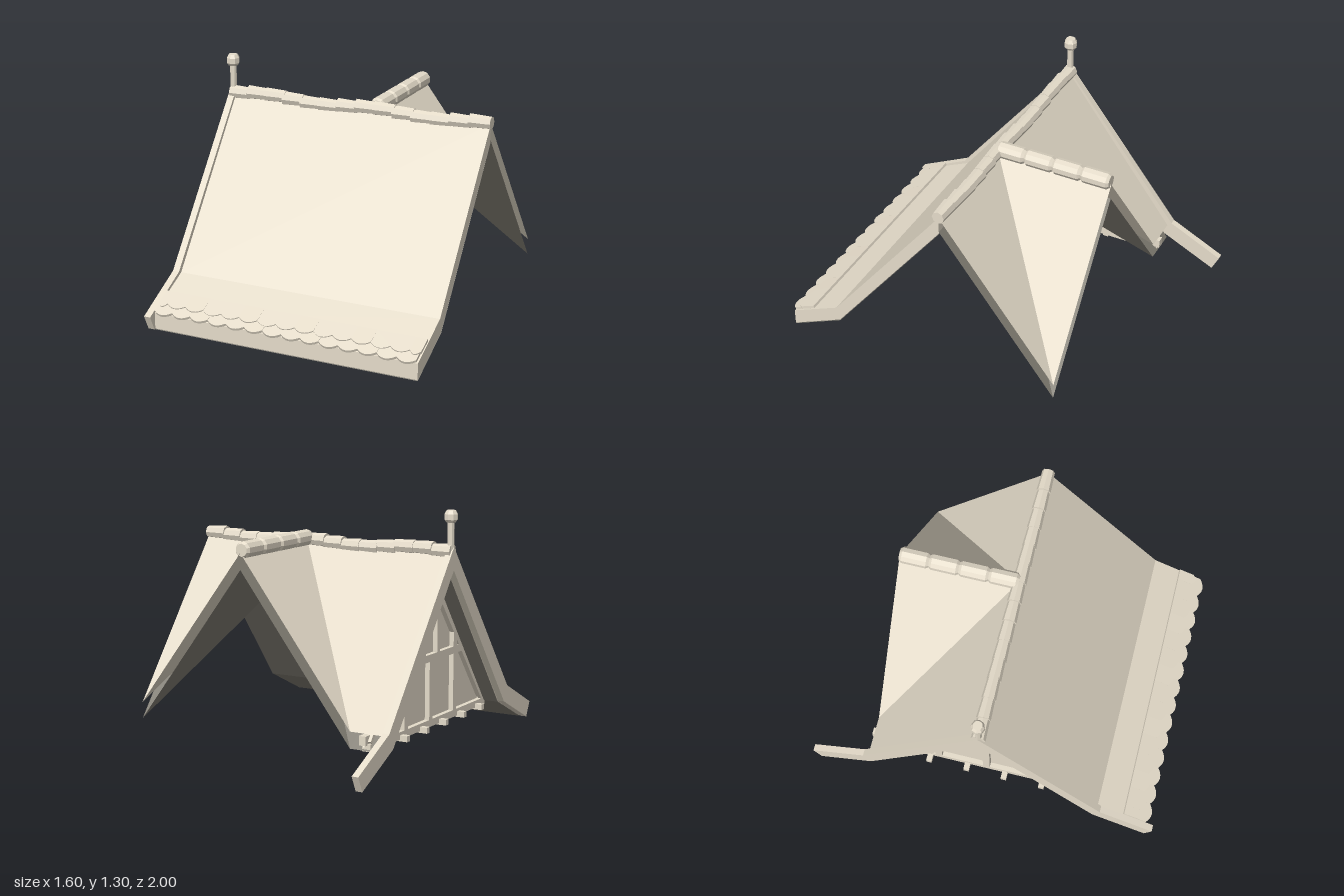
import * as THREE from 'three';

export function createModel() {
  const root = new THREE.Group();
  const clay = new THREE.MeshStandardMaterial({ color: 0xe5dcca, side: THREE.DoubleSide });
  clay.name = 'pale clay';
  const shade = new THREE.MeshStandardMaterial({ color: 0x837f75, side: THREE.DoubleSide });
  shade.name = 'dark lining';

  const add = (name, geo, parent = root, mat = clay) => {
    const m = new THREE.Mesh(geo, mat);
    m.name = name;
    parent.add(m);
    return m;
  };
  const group = (name) => {
    const g = new THREE.Group();
    g.name = name;
    root.add(g);
    return g;
  };
  const faceted = (geo) => {
    const g = geo.toNonIndexed();
    g.computeVertexNormals();
    return g;
  };
  const lathe = (pts, sides) =>
    faceted(new THREE.LatheGeometry(pts.map((p) => new THREE.Vector2(...p)), sides));
  // Extrude a (z, y) outline along x, from x0 to x1
  const alongX = (pts, x0, x1) => {
    const s = new THREE.Shape(pts.map((p) => new THREE.Vector2(...p)));
    const g = new THREE.ExtrudeGeometry(s, { depth: x1 - x0, bevelEnabled: false });
    return g.rotateY(-Math.PI / 2).translate(x1, 0, 0);
  };
  // Thin surface from triangles, optionally lowered
  const sheet = (name, tris, mat, drop = 0) => {
    const pos = tris.flat().flatMap(([x, y, z]) => [x, y - drop, z]);
    const g = new THREE.BufferGeometry();
    g.setAttribute('position', new THREE.Float32BufferAttribute(pos, 3));
    g.computeVertexNormals();
    add(name, g, root, mat);
  };

  // Front roof slab with flared eave and dark underside
  const x0 = -0.745, x1 = 0.79;
  add('frontRoof', alongX([[0, 1.09], [0.67, 0.228], [0.955, 0.096], [0.955, 0.005], [0.65, 0.15], [0, 0.99]], x0, x1));
  const under = [[0, 0.985], [0.65, 0.144], [0.955, 0]];
  const soffit = [];
  for (let i = 0; i < 2; i++) {
    const [[za, ya], [zb, yb]] = [under[i], under[i + 1]];
    soffit.push([[x0, ya, za], [x1, ya, za], [x1, yb, zb]], [[x0, ya, za], [x1, yb, zb], [x0, yb, zb]]);
  }
  sheet('frontLining', soffit, shade);

  // Back roof with cross gable: outer skin and lowered dark lining
  const A = [0.13, 1.09, 0], G = [0.13, 1.09, -0.665];
  const L = [-0.54, 0.215, -0.665], R = [0.79, 0.215, -0.665];
  const E0 = [-0.75, 1.09, 0], E1 = [0.79, 1.09, 0], D = [-0.75, 0.215, -0.665];
  const mainBack = [[E0, A, L], [E0, L, D], [A, E1, R]];
  const cross = [[A, G, L], [A, R, G]];
  sheet('backRoof', mainBack, clay);
  sheet('crossGableRoof', cross, clay);
  sheet('backRoofLining', mainBack, shade, 0.09);
  sheet('crossGableLining', cross, shade, 0.09);

  // Barge boards on the gable end, flared at both feet
  const barge = group('bargeBoards');
  const half = [[0, 1.11], [0.69, 0.237], [1, 0.085], [0.96, 0], [0.65, 0.15], [0, 0.985]];
  add('frontBarge', alongX(half, -0.785, -0.747), barge);
  add('backBarge', alongX(half.map(([z, y]) => [-z, y]).reverse(), -0.785, -0.747), barge);

  // Finial post and cap
  const finial = group('finial');
  add('post', faceted(new THREE.CylinderGeometry(0.019, 0.019, 0.2, 8).translate(-0.765, 1.15, 0)), finial);
  const cap = [[0, 1.24], [0.026, 1.24], [0.037, 1.255], [0.037, 1.285], [0.026, 1.305], [0, 1.305]];
  add('cap', lathe(cap, 8), finial).position.x = -0.765;

  // Wavy main ridge of overlapping tapered tiles
  const ridge = group('mainRidge');
  const count = 14, step = 1.56 / count;
  const tile = faceted(new THREE.CylinderGeometry(0.035, 0.04, step + 0.012, 8));
  for (let i = 0; i < count; i++) {
    const x = -0.77 + step * (i + 0.5);
    const t = add('ridgeTile', tile, ridge);
    t.rotation.z = -Math.PI / 2;
    t.position.set(x, 1.086 + 0.01 * Math.cos((x + 0.55) * 2 * Math.PI / 0.67), 0);
  }

  // Cross ridge of four barrel tiles
  const crossRidge = group('crossRidge');
  const barrel = lathe([[0, -0.083], [0.035, -0.083], [0.046, -0.068], [0.046, 0.068], [0.035, 0.083], [0, 0.083]], 10);
  barrel.rotateX(Math.PI / 2);
  for (let i = 0; i < 4; i++) {
    add('barrelTile', barrel, crossRidge).position.set(0.125, 1.105, -0.083 - i * 0.165);
  }

  // Two rows of scalloped eave shingles
  const shingles = group('eaveShingles');
  const w = 0.109;
  const shingleRow = (z, length, lift, shift) => {
    for (let i = 0; i < 15; i++) {
      const a = Math.max(-0.745, -0.745 + (i - shift) * w);
      const b = Math.min(0.788, -0.745 + (i + 1 - shift) * w);
      if (b - a < 0.01) continue;
      const s = new THREE.Shape();
      s.moveTo(a, 0);
      s.lineTo(a, -length + 0.025);
      s.quadraticCurveTo((a + b) / 2, -length - 0.025, b, -length + 0.025);
      s.lineTo(b, 0);
      const g = new THREE.ExtrudeGeometry(s, { depth: 0.014, bevelEnabled: false, curveSegments: 6 });
      g.rotateX(-1.15 - 0.012 * (i % 3));
      add('shingle', g, shingles).position.set(0, 0.228 - (z - 0.67) * 0.4625 + lift, z);
    }
  };
  shingleRow(0.85, 0.135, 0, 0);
  shingleRow(0.82, 0.115, 0.006, 0.5);

  // Timbered gable wall
  const wall = group('gableWall');
  add('panel', alongX([[-0.66, 0.12], [-0.66, 0.14], [0, 0.975], [0.66, 0.14], [0.66, 0.12]], -0.63, -0.61), wall);
  const beam = (name, z0, y0, z1, y1, t = 0.04) => {
    const len = Math.hypot(z1 - z0, y1 - y0);
    const b = add(name, new THREE.BoxGeometry(0.035, t, len), wall);
    b.position.set(-0.64, (y0 + y1) / 2, (z0 + z1) / 2);
    b.rotation.x = -Math.atan2(y1 - y0, z1 - z0);
  };
  beam('sill', -0.66, 0.14, 0.66, 0.14);
  beam('rail', -0.37, 0.5, 0.37, 0.5);
  beam('centrePost', 0, 0.14, 0, 0.5);
  for (const s of [-1, 1]) {
    beam('rafter', s * 0.64, 0.16, 0, 0.96);
    beam('post', s * 0.28, 0.14, s * 0.28, 0.6);
    beam('upperPost', s * 0.08, 0.5, s * 0.08, 0.86, 0.03);
    add('plateEnd', new THREE.BoxGeometry(0.04, 0.05, 0.07).translate(-0.62, 0.178, s * 0.643), wall);
  }
  for (let i = 0; i < 6; i++) {
    add('joistEnd', new THREE.BoxGeometry(0.09, 0.032, 0.032).translate(-0.655, 0.127, -0.55 + i * 0.22), wall);
  }
  return root;
}
